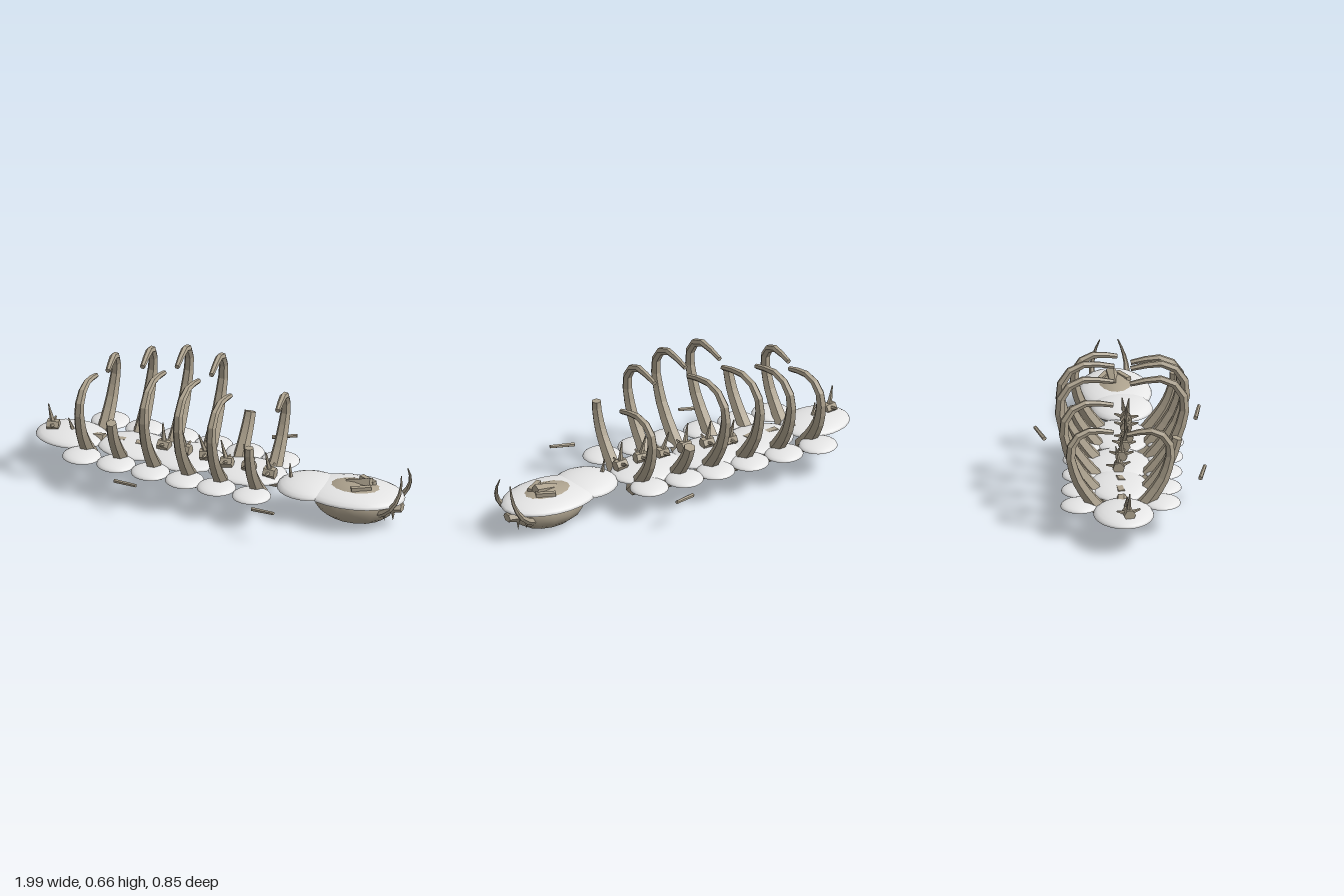
import * as THREE from 'three';

const bone = new THREE.MeshStandardMaterial({ color: 0xaca18d });
bone.name = 'bone';
const snow = new THREE.MeshStandardMaterial({ color: 0xe6e6e6, side: THREE.DoubleSide });
snow.name = 'snow';

function flat(geo) {
  const g = geo.index ? geo.toNonIndexed() : geo;
  g.computeVertexNormals();
  return g;
}

// Capped, tapered, faceted tube through points; `end` cuts it short as a broken bone
function taper(pts, r0, r1, { sides = 6, segs = 10, end = 1 } = {}) {
  const full = new THREE.CatmullRomCurve3(pts.map(p => new THREE.Vector3(...p)));
  const cut = [];
  for (let i = 0; i <= segs; i++) cut.push(full.getPointAt(end * i / segs));
  const curve = new THREE.CatmullRomCurve3(cut);
  const tube = new THREE.TubeGeometry(curve, segs, 1, sides);
  const pos = Array.from(tube.attributes.position.array);
  const index = Array.from(tube.index.array);
  const ring = sides + 1;
  for (let i = 0; i <= segs; i++) {
    const c = curve.getPointAt(i / segs).toArray();
    const r = r0 + (r1 - r0) * end * i / segs;
    for (let j = 0; j < ring; j++) {
      for (let k = 0; k < 3; k++) {
        const n = (i * ring + j) * 3 + k;
        pos[n] = c[k] + (pos[n] - c[k]) * r;
      }
    }
  }
  const first = pos.length / 3;
  pos.push(...cut[0].toArray(), ...cut[segs].toArray());
  for (let j = 0; j < sides; j++) {
    index.push(first, j, j + 1, first + 1, segs * ring + j + 1, segs * ring + j);
  }
  const g = new THREE.BufferGeometry();
  g.setAttribute('position', new THREE.Float32BufferAttribute(pos, 3));
  g.setIndex(index);
  return flat(g);
}

export function createModel() {
  const model = new THREE.Group();
  model.name = 'buriedSkeleton';

  function add(name, geo, mat = bone, parent = model) {
    const m = new THREE.Mesh(geo, mat);
    m.name = name;
    parent.add(m);
    return m;
  }
  function mound(name, x, z, rx, rz, h) {
    const m = add(name, new THREE.SphereGeometry(1, 24, 6, 0, Math.PI * 2, 0, Math.PI / 2), snow);
    m.scale.set(rx, h, rz);
    m.position.set(x, 0.148, z);
  }
  const spineZ = x => -0.005 + 0.12 * x;

  // Large snow drifts along the spine
  [[-0.815, -0.085, 0.185, 0.15, 0.04], [-0.47, -0.075, 0.2, 0.15, 0.035],
    [-0.2, -0.05, 0.2, 0.16, 0.035], [0.14, -0.01, 0.205, 0.15, 0.035],
    [0.49, 0.035, 0.17, 0.155, 0.05], [0.71, 0.025, 0.27, 0.18, 0.05],
  ].forEach(d => mound('snowDrift', ...d));

  // Ribs: [distance from spine, height] of the outline
  const profile = [[0.08, 0.085], [0.14, 0.15], [0.21, 0.24], [0.265, 0.33], [0.297, 0.42],
    [0.312, 0.5], [0.298, 0.575], [0.26, 0.62], [0.21, 0.645], [0.13, 0.643], [0.04, 0.625]];
  const ribs = [ // x, size, portion kept on +z and on -z
    [-0.69, 0.8, 1, 1], [-0.5, 0.92, 0.5, 1], [-0.31, 1, 1, 1],
    [-0.12, 1, 1, 1], [0.055, 0.92, 1, 0.42], [0.25, 0.8, 0.6, 1]];
  for (const [x, s, keepLeft, keepRight] of ribs) {
    for (const side of [1, -1]) {
      const lean = side > 0 ? 0.012 : 0.05;
      const z0 = spineZ(x);
      const pts = profile.map(([r, y], i) =>
        [x + lean * (i / 10) ** 2, 0.085 + (y - 0.085) * s, z0 + side * r * s]);
      const end = side > 0 ? keepLeft : keepRight;
      add('rib', taper(pts, 0.042, 0.013, { segs: 11, end }));
      mound('ribSnow', x, z0 + side * 0.205, 0.098, 0.095, 0.028);
    }
  }

  // Vertebrae: hexagonal body, cross bar and leaning spine
  const vertebrae = [ // x, z, height of body, has spine
    [-0.91, -0.07, 0.193, 1], [-0.795, -0.082, 0.135, 1], [-0.67, -0.08, 0.155, 0],
    [-0.56, -0.075, 0.155, 0], [-0.44, -0.065, 0.16, 0], [-0.32, -0.06, 0.19, 1],
    [-0.2, -0.035, 0.2, 1], [-0.08, -0.012, 0.205, 1], [0.04, 0.015, 0.195, 1],
    [0.16, 0.025, 0.2, 1], [0.275, 0.035, 0.19, 1], [0.39, 0.04, 0.14, 1]];
  vertebrae.forEach(([x, z, y, spined], i) => {
    const v = new THREE.Group();
    v.name = 'vertebra';
    v.position.set(x, y, z);
    v.rotation.set(0.15 * Math.sin(i * 2.1), 0.15 * Math.cos(i * 1.7), 0.1 * Math.sin(i));
    model.add(v);
    const body = add('vertebraBody', flat(new THREE.CylinderGeometry(0.03, 0.03, 0.06, 6)), bone, v);
    body.rotation.z = Math.PI / 2;
    if (!spined) return;
    add('spineSpike', taper([[0, 0.01, 0], [-0.012, 0.06, 0], [-0.024, 0.115, 0]],
      0.015, 0.003, { sides: 5, segs: 2 }), bone, v);
    for (const side of [1, -1]) {
      add('crossSpike', taper([[0, 0.005, side * 0.015], [0, 0.018, side * 0.06]],
        0.012, 0.005, { sides: 5, segs: 1 }), bone, v);
    }
  });

  // Skull
  const skull = add('skull', new THREE.SphereGeometry(1, 14, 9));
  skull.scale.set(0.21, 0.106, 0.137);
  skull.position.set(0.72, 0.108, 0.025);
  const brow = add('skullCrest', flat(new THREE.CylinderGeometry(0.025, 0.04, 0.13, 5)));
  brow.rotation.z = Math.PI / 2 + 0.12;
  brow.scale.z = 0.8;
  brow.position.set(0.74, 0.2, 0.015);
  for (const side of [1, -1]) {
    const ridge = add('browRidge', flat(new THREE.BoxGeometry(0.1, 0.02, 0.025)));
    ridge.position.set(0.77, 0.205, 0.02 + side * 0.05);
    ridge.rotation.y = side * 0.5;
  }
  const snout = add('snout', flat(new THREE.CylinderGeometry(0.03, 0.06, 0.1, 6)));
  snout.rotation.z = -Math.PI / 2;
  snout.scale.x = 0.75;
  snout.position.set(0.92, 0.112, 0.02);

  // Tusks and teeth
  for (const side of [1, -1]) {
    const z = d => 0.02 + side * d;
    add('tusk', taper([[0.86, 0.09, z(0.07)], [0.925, 0.125, z(0.085)], [0.97, 0.185, z(0.085)],
      [0.987, 0.245, z(0.07)], [0.982, 0.31, z(0.045)]], 0.022, 0.003, { segs: 6 }));
    for (const [x, d] of [[0.9, 0.07], [0.94, 0.055]]) {
      const tooth = add('tooth', flat(new THREE.ConeGeometry(0.009, 0.04, 4)));
      tooth.rotation.x = Math.PI;
      tooth.position.set(x, 0.08, z(d));
    }
  }

  // Loose bone splinters lying around
  for (const [x1, z1, x2, z2] of [[0.13, -0.385, 0.25, -0.42], [-0.435, 0.335, -0.31, 0.37],
    [0.31, 0.385, 0.435, 0.415]]) {
    add('boneSplinter', taper([[x1, 0.16, z1], [x2, 0.172, z2]], 0.011, 0.009, { segs: 1 }));
  }
  return model;
}
